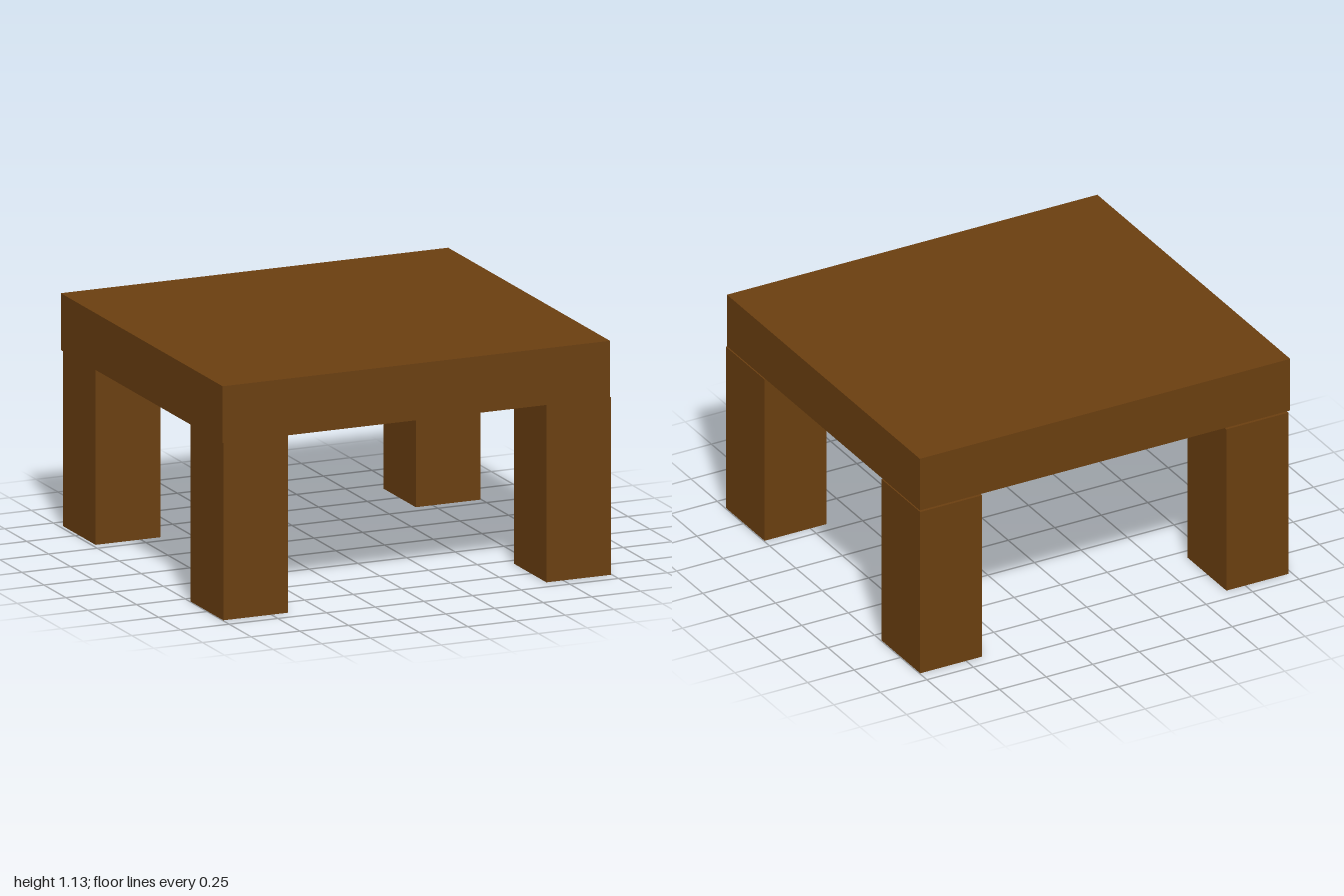
import * as THREE from 'three';

export function createModel() {
  const table = new THREE.Group();
  table.name = 'table';
  const wood = new THREE.MeshStandardMaterial({ color: 0x6b3f10 });

  // Box given by its centre and size
  const addBlock = (name, [x, y, z], [w, h, d]) => {
    const mesh = new THREE.Mesh(new THREE.BoxGeometry(w, h, d), wood);
    mesh.name = name;
    mesh.position.set(x, y, z);
    table.add(mesh);
  };

  // Thick slab, set slightly off centre over the legs
  addBlock('tableTop', [-0.005, 0.9975, 0.005], [1.99, 0.275, 1.84]);

  // Four square legs; the back right one is set in a little
  const legHeight = 0.86;
  const legs = [
    ['frontLeftLeg', 0.83, 0.74],
    ['frontRightLeg', -0.83, 0.74],
    ['backLeftLeg', 0.83, -0.745],
    ['backRightLeg', -0.815, -0.745],
  ];
  for (const [name, x, z] of legs) {
    addBlock(name, [x, legHeight / 2, z], [0.333, legHeight, 0.37]);
  }

  return table;
}
